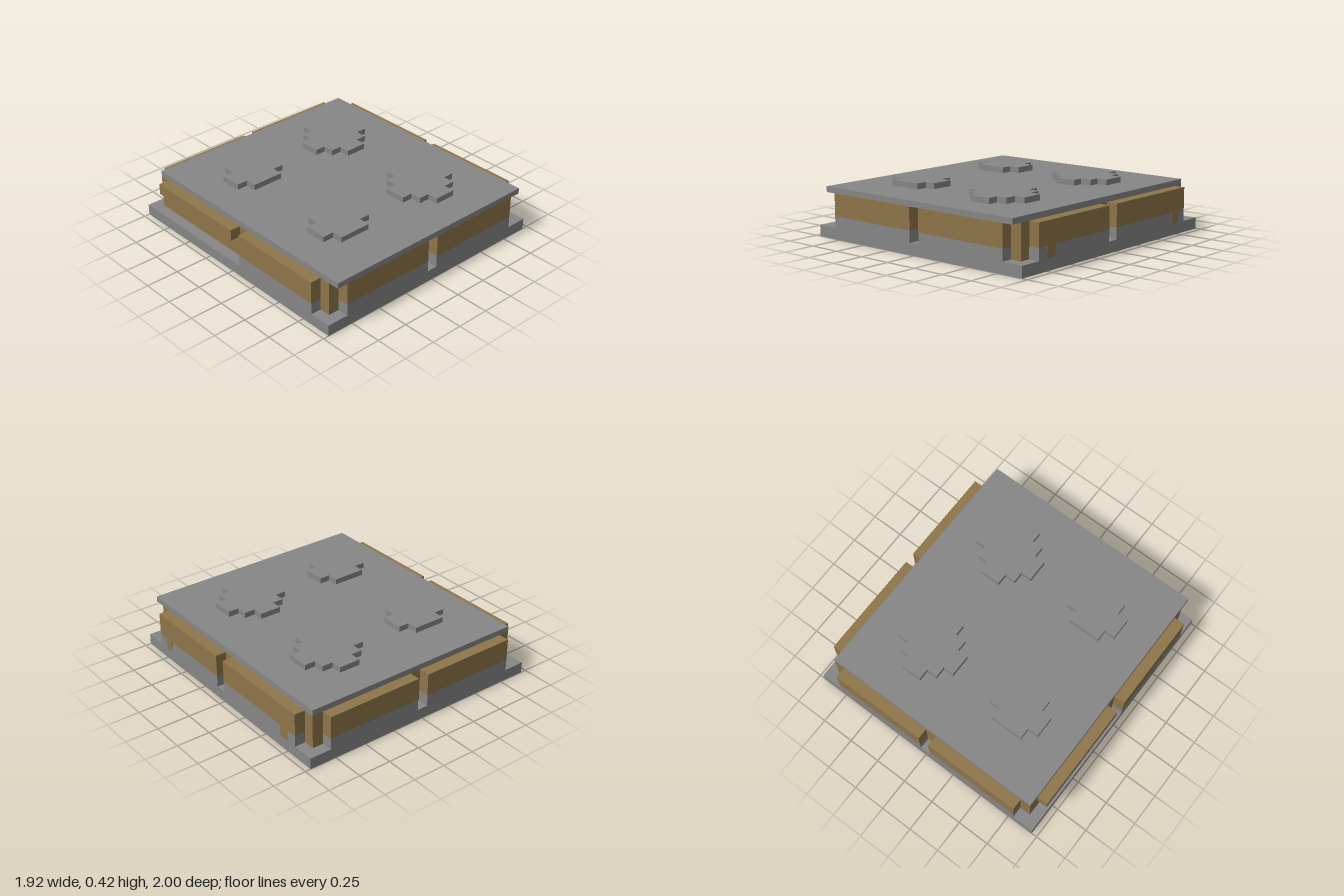
import * as THREE from 'three';

export function createModel() {
  const model = new THREE.Group();
  const stone = new THREE.MeshStandardMaterial({ color: 0x868686 });
  stone.name = 'stone grey';
  const wood = new THREE.MeshStandardMaterial({ color: 0x8f754a });
  wood.name = 'wood brown';

  // Box given by its lower and upper corners
  function box(name, mat, [x0, y0, z0], [x1, y1, z1], parent = model) {
    const mesh = new THREE.Mesh(new THREE.BoxGeometry(x1 - x0, y1 - y0, z1 - z0), mat);
    mesh.position.set((x0 + x1) / 2, (y0 + y1) / 2, (z0 + z1) / 2);
    mesh.name = name;
    parent.add(mesh);
    return mesh;
  }

  const floor = 0.083, split = 0.168, top = 0.335;

  // Base slab, inner block and overhanging top slab
  box('base', stone, [-0.957, 0, -1], [0.957, floor, 1]);
  box('core', wood, [-0.875, floor, -0.916], [0.875, top, 0.916]);
  box('topSlab', stone, [-0.875, top, -0.916], [0.875, 0.377, 1]);

  // Wall panel: stone below, wood above
  function panel(name, x0, x1, z0, z1) {
    const group = new THREE.Group();
    group.name = name;
    box('panelFoot', stone, [x0, floor, z0], [x1, split, z1], group);
    box('panelBoard', wood, [x0, split, z0], [x1, top, z1], group);
    model.add(group);
  }
  for (const [x0, x1] of [[-0.792, -0.042], [0.042, 0.792]]) {
    panel('frontPanel', x0, x1, 0.916, 1);
    panel('backPanel', x0, x1, -1, -0.916);
  }
  panel('leftFrontPanel', 0.875, 0.957, 0.083, 0.833);
  panel('leftBackPanel', 0.875, 0.957, -0.833, 0);
  panel('rightFrontPanel', -0.957, -0.875, 0.083, 0.833);

  // Short rail in place of the last side panel
  box('rightBackRail', wood, [-0.957, 0.252, -0.833], [-0.875, top, 0]);

  // Wooden tabs hanging over the stone foot, with rounded lower corners
  const tabShape = new THREE.Shape();
  tabShape.moveTo(-0.042, 0.085);
  tabShape.lineTo(-0.04, 0.02);
  tabShape.quadraticCurveTo(-0.038, 0.003, -0.02, 0.003);
  tabShape.lineTo(0.02, 0.003);
  tabShape.quadraticCurveTo(0.038, 0.003, 0.04, 0.02);
  tabShape.lineTo(0.042, 0.085);
  for (const z of [0.71, -0.71]) {
    const tab = new THREE.Mesh(new THREE.ExtrudeGeometry(tabShape, { depth: 0.004, bevelEnabled: false }), wood);
    tab.name = 'tab';
    tab.rotation.y = Math.PI / 2;
    tab.position.set(0.955, floor, z);
    model.add(tab);
  }

  // Stepped round plates: each step is [half width, half depth], narrowest first
  function hotPlate(name, x, z, steps) {
    const quarter = [];
    steps.forEach(([w, d], i) => {
      quarter.push([w, d]);
      if (i < steps.length - 1) quarter.push([w, steps[i + 1][1]]);
    });
    const flip = (sx, sy) => quarter.map(([a, b]) => new THREE.Vector2(a * sx, b * sy));
    const outline = [...flip(1, 1), ...flip(1, -1).reverse(), ...flip(-1, -1), ...flip(-1, 1).reverse()];
    const geo = new THREE.ExtrudeGeometry(new THREE.Shape(outline), { depth: 0.042, bevelEnabled: false });
    geo.rotateX(-Math.PI / 2);
    const mesh = new THREE.Mesh(geo, stone);
    mesh.name = name;
    mesh.position.set(x, 0.377, z);
    model.add(mesh);
  }
  for (const z of [-0.417, 0.5]) {
    hotPlate('smallPlate', -0.417, z, [[0.125, 0.167], [0.208, 0.083]]);
    hotPlate('largePlate', 0.372, z, [[0.083, 0.25], [0.167, 0.167], [0.25, 0.083]]);
  }

  return model;
}
